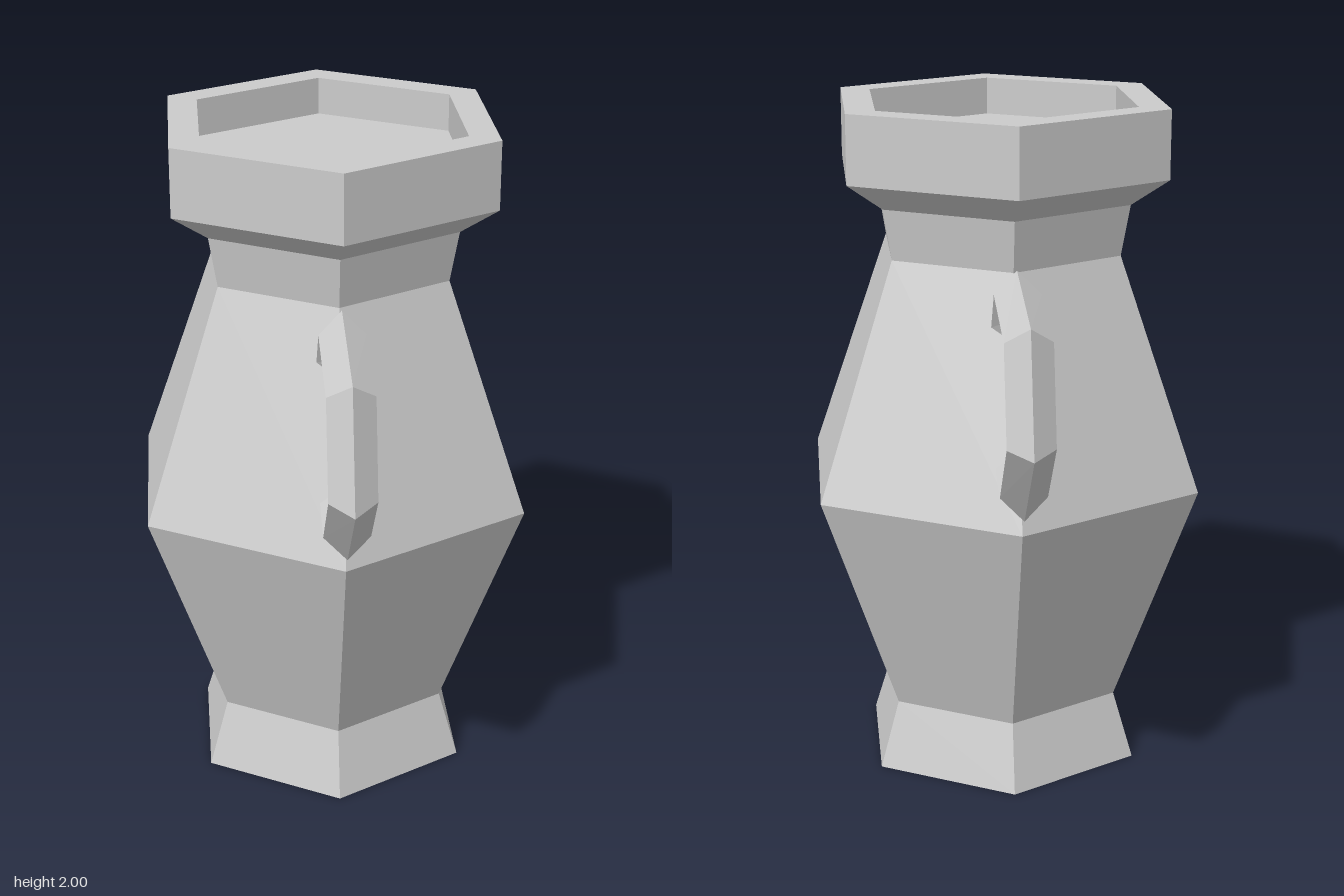
import * as THREE from 'three';

const material = new THREE.MeshStandardMaterial({ color: 0xcccccc, flatShading: true });

// Diamond-section bar swept along a path of [z, y] points, capped at both ends
function diamondBar(path, half) {
  const positions = [];
  const index = [];
  const points = path.map(([z, y]) => new THREE.Vector2(z, y));
  const last = points.length - 1;
  points.forEach((p, i) => {
    const before = p.clone().sub(points[Math.max(i - 1, 0)]).normalize();
    const after = points[Math.min(i + 1, last)].clone().sub(p).normalize();
    const t = before.add(after).normalize();
    for (let k = 0; k < 4; k++) {
      const a = (k * Math.PI) / 2;
      const out = half * Math.cos(a);
      positions.push(half * Math.sin(a), p.y + t.x * out, p.x - t.y * out);
    }
  });
  for (let i = 0; i < last; i++) {
    for (let k = 0; k < 4; k++) {
      const a = i * 4 + k;
      const b = i * 4 + ((k + 1) % 4);
      index.push(a, a + 4, b, b, a + 4, b + 4);
    }
  }
  const e = last * 4;
  index.push(0, 1, 2, 0, 2, 3, e, e + 2, e + 1, e, e + 3, e + 2);
  const geometry = new THREE.BufferGeometry();
  geometry.setAttribute('position', new THREE.Float32BufferAttribute(positions, 3));
  geometry.setIndex(index);
  geometry.computeVertexNormals();
  return geometry;
}

export function createModel() {
  const group = new THREE.Group();

  // Six-sided vase: foot, belly, neck, rim and recessed mouth
  const profile = [
    [0, 0], [0.445, 0], [0.38, 0.2], [0.635, 0.885], [0.38, 1.57], [0.408, 1.72],
    [0.525, 1.8], [0.525, 2], [0.427, 2], [0.427, 1.89], [0, 1.89],
  ].map(([r, y]) => new THREE.Vector2(r, y));
  const body = new THREE.Mesh(new THREE.LatheGeometry(profile, 6), material);
  body.name = 'vaseBody';
  group.add(body);

  // Front and back handles
  const handle = diamondBar([
    [0.415, 1.425], [0.493, 1.536], [0.772, 1.474],
    [0.85, 1.205], [0.666, 1.01], [0.545, 1.055],
  ], 0.066);
  ['frontHandle', 'backHandle'].forEach((name, i) => {
    const mesh = new THREE.Mesh(handle, material);
    mesh.name = name;
    mesh.rotation.y = i * Math.PI;
    group.add(mesh);
  });

  return group;
}
